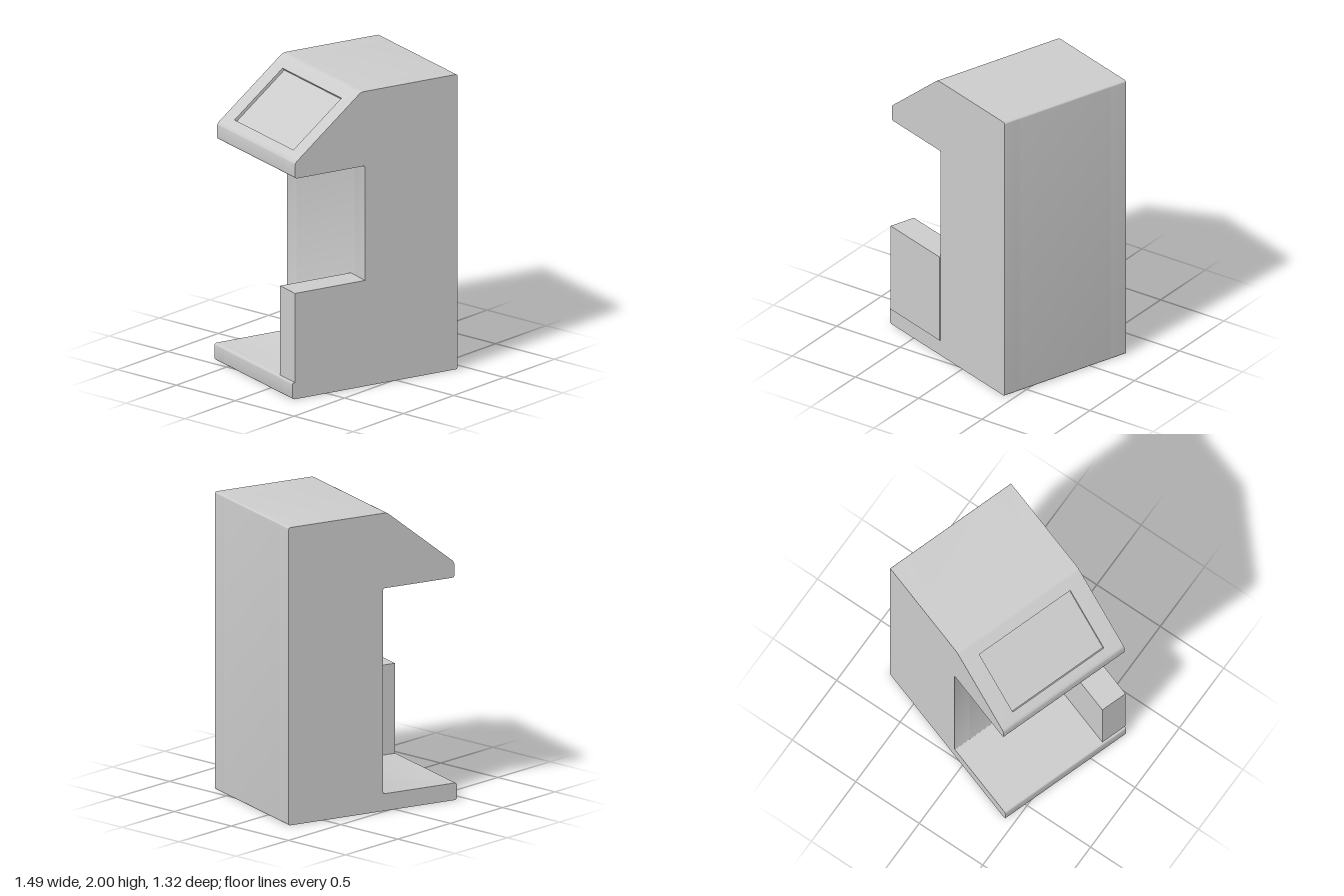
import * as THREE from 'three';
import { toCreasedNormals } from 'three/addons/utils/BufferGeometryUtils.js';

const WIDTH = 0.974, SCREEN_WIDTH = 0.734;
const SLOPE_START = new THREE.Vector2(-0.603, 1.6);
const SLOPE_END = new THREE.Vector2(-0.105, 2);
const SLOPE = SLOPE_END.clone().sub(SLOPE_START).normalize();
const INWARD = new THREE.Vector2(SLOPE.y, -SLOPE.x);

// closed side profile from [depth, height, corner radius] points
function roundedProfile(points) {
  const shape = new THREE.Shape();
  const n = points.length;
  points.forEach(([x, y, r], i) => {
    const p = new THREE.Vector2(x, y);
    const toward = ([qx, qy]) =>
      new THREE.Vector2(qx, qy).sub(p).setLength(r).add(p);
    const a = r ? toward(points[(i + n - 1) % n]) : p;
    const b = r ? toward(points[(i + 1) % n]) : p;
    if (i === 0) shape.moveTo(a.x, a.y);
    else shape.lineTo(a.x, a.y);
    if (r) shape.quadraticCurveTo(p.x, p.y, b.x, b.y);
  });
  shape.closePath();
  return shape;
}

// point on the sloped face at a given depth coordinate, sunk by `sink`
function onSlope(x, sink = 0) {
  const t = (x - SLOPE_START.x) / SLOPE.x;
  return SLOPE_START.clone().addScaledVector(SLOPE, t).addScaledVector(INWARD, sink);
}

export function createModel() {
  const model = new THREE.Group();
  model.name = 'arcadeCabinet';
  const material = new THREE.MeshStandardMaterial({ color: 0xcccccc });

  const add = (name, geometry, parent = model) => {
    const mesh = new THREE.Mesh(geometry, material);
    mesh.name = name;
    parent.add(mesh);
    return mesh;
  };

  // recess for the screen, cut into the slope of the middle slice
  const low = -0.543, high = -0.181;
  const notch = [
    onSlope(high), onSlope(high, 0.035), onSlope(low, 0.035), onSlope(low),
  ].map(p => [p.x, p.y, 0]);

  // C-shaped cabinet outline, counter-clockwise
  const outline = recess => roundedProfile([
    [-0.622, 0, 0.018],
    [0.622, 0, 0.014],
    [0.622, 2, 0.014],
    [SLOPE_END.x, SLOPE_END.y, 0.02],
    ...recess,
    [SLOPE_START.x, SLOPE_START.y, 0.02],
    [-0.603, 1.495, 0.018],
    [-0.077, 1.495, 0.01],
    [-0.077, 0.115, 0.01],
    [-0.622, 0.115, 0.018],
  ]);

  // cabinet: two side slices and a notched middle slice
  const cabinet = new THREE.Group();
  cabinet.name = 'cabinet';
  model.add(cabinet);
  const slice = (name, shape, start, depth) => {
    const geometry = new THREE.ExtrudeGeometry(shape, {
      depth, bevelEnabled: false, curveSegments: 5,
    });
    geometry.translate(0, 0, start);
    add(name, toCreasedNormals(geometry, 0.6), cabinet);
  };
  const side = (WIDTH - SCREEN_WIDTH) / 2;
  slice('cabinetSideA', outline([]), -WIDTH / 2, side);
  slice('cabinetMiddle', outline(notch), -SCREEN_WIDTH / 2, SCREEN_WIDTH);
  slice('cabinetSideB', outline([]), SCREEN_WIDTH / 2, side);

  // screen panel on the floor of the recess
  const length = onSlope(low).distanceTo(onSlope(high));
  const screen = add('screen', new THREE.BoxGeometry(length, 0.015, SCREEN_WIDTH));
  const centre = onSlope((low + high) / 2, 0.0275);
  screen.position.set(centre.x, centre.y, 0);
  screen.rotation.z = SLOPE.angle();

  // upright block standing on one side of the base, slightly proud of it
  const block = add('sideBlock', new THREE.BoxGeometry(0.532, 0.61, 0.187));
  block.position.set(-0.341, 0.415, 0.4);

  // the cabinet stands turned on its base
  model.rotation.y = -0.319;
  const root = new THREE.Group();
  root.name = 'model';
  root.add(model);
  return root;
}
